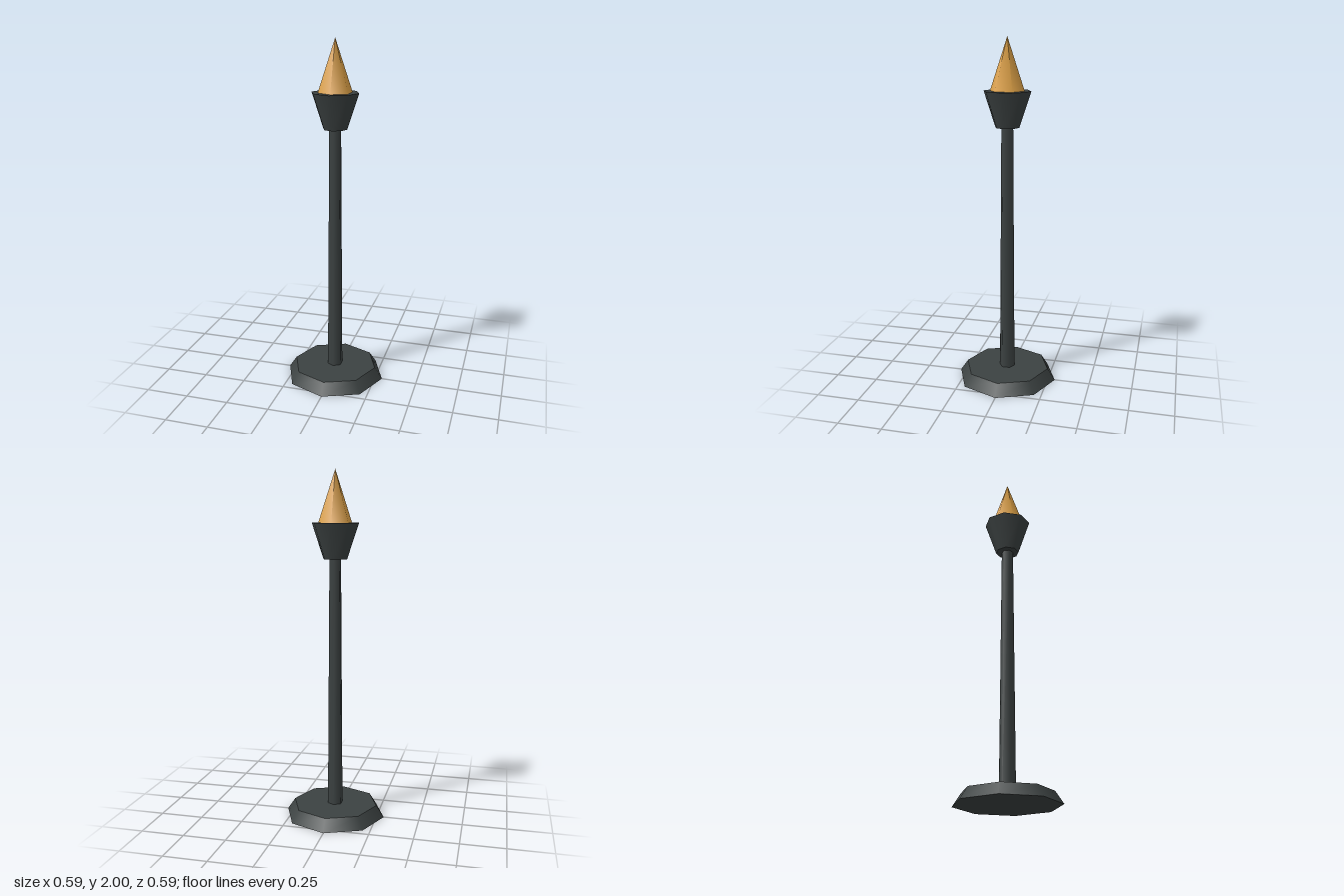
import * as THREE from 'three';

export function createModel() {
  const group = new THREE.Group();
  const iron = new THREE.MeshStandardMaterial({ color: 0x3c4242 });
  iron.name = 'dark iron';
  const amber = new THREE.MeshStandardMaterial({ color: 0xdca046 });
  amber.name = 'amber flame';

  // Tapered round part standing between two heights
  function taper(name, material, rTop, rBottom, y0, y1, sides) {
    const geometry = new THREE.CylinderGeometry(rTop, rBottom, y1 - y0, sides);
    const mesh = new THREE.Mesh(geometry, material);
    mesh.name = name;
    mesh.position.y = (y0 + y1) / 2;
    group.add(mesh);
  }

  taper('base', iron, 0.248, 0.293, 0, 0.068, 8);
  taper('pole', iron, 0.034, 0.045, 0.068, 1.508, 6);
  taper('cup', iron, 0.135, 0.068, 1.508, 1.709, 8);

  // Pointed flame resting on the cup
  const flame = new THREE.Mesh(new THREE.ConeGeometry(0.098, 0.291, 6), amber);
  flame.name = 'flame';
  flame.position.y = 1.709 + 0.291 / 2;
  group.add(flame);

  return group;
}
